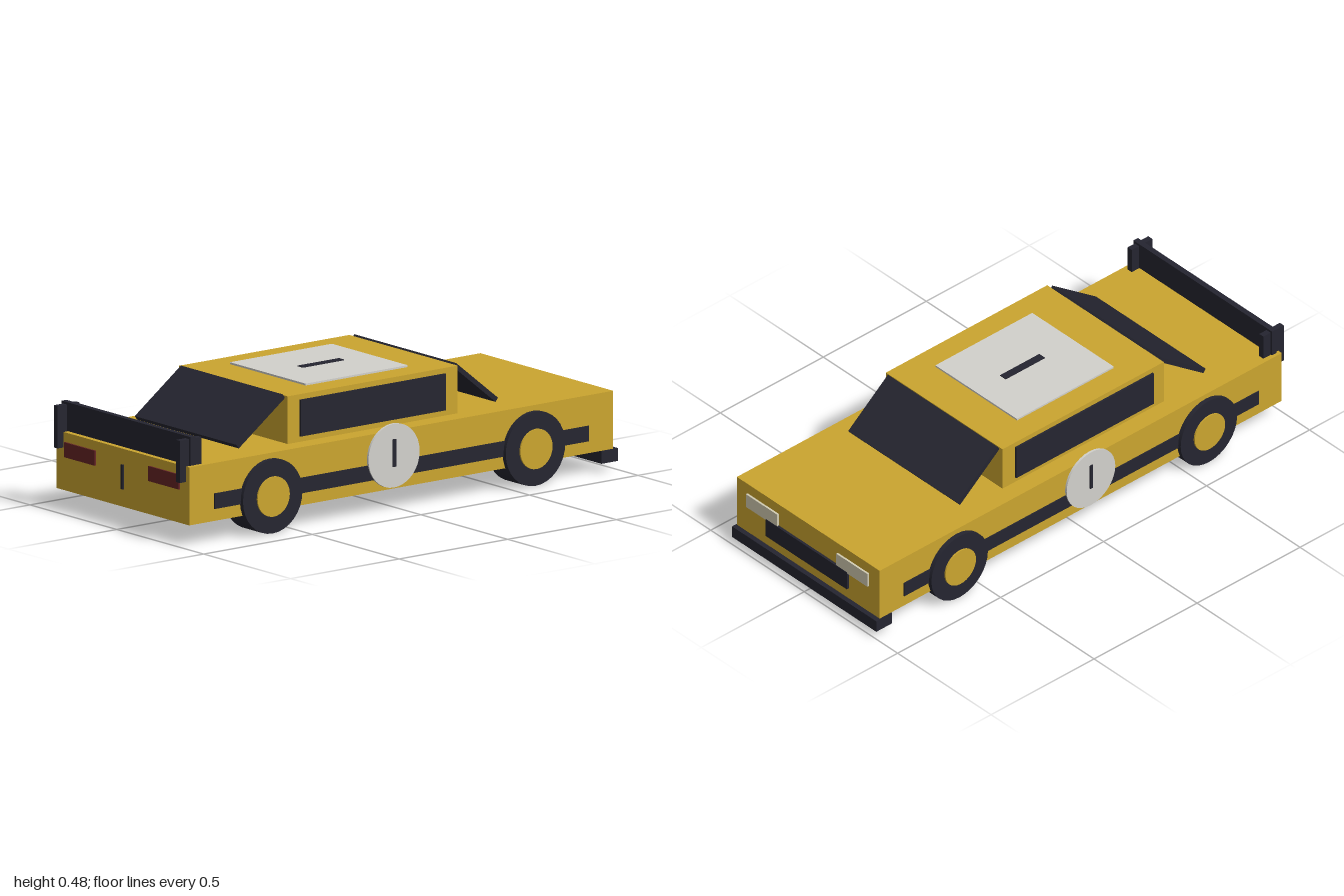
import * as THREE from 'three';

const material = (name, color) => {
  const m = new THREE.MeshStandardMaterial({ color });
  m.name = name;
  return m;
};

export function createModel() {
  const car = new THREE.Group();
  car.name = 'car';
  const gold = material('gold paint', 0xcba52f);
  const dark = material('dark trim', 0x252530);
  const white = material('white decal', 0xd2d1cc);
  const red = material('tail light red', 0x652525);
  const cream = material('headlight cream', 0xd2ccb2);

  // Box given by its minimum and maximum on each axis
  const box = (name, mat, [x0, x1], [y0, y1], [z0, z1]) => {
    const mesh = new THREE.Mesh(new THREE.BoxGeometry(x1 - x0, y1 - y0, z1 - z0), mat);
    mesh.position.set((x0 + x1) / 2, (y0 + y1) / 2, (z0 + z1) / 2);
    mesh.name = name;
    car.add(mesh);
    return mesh;
  };
  // The same box on both sides of the car
  const pair = (name, mat, [x0, x1], y, z) => {
    box(name + 'Left', mat, [x0, x1], y, z);
    box(name + 'Right', mat, [-x1, -x0], y, z);
  };
  // Disc or drum with its axis along x
  const drum = (name, mat, radius, [x0, x1], y, z, side) => {
    const mesh = new THREE.Mesh(new THREE.CylinderGeometry(radius, radius, x1 - x0, 32), mat);
    mesh.rotation.z = Math.PI / 2;
    mesh.position.set(side * (x0 + x1) / 2, y, z);
    mesh.name = name;
    car.add(mesh);
  };
  // Sloping pane between two (z, y) points
  const pane = (name, [z0, y0], [z1, y1]) => {
    const length = Math.hypot(z1 - z0, y1 - y0);
    const mesh = new THREE.Mesh(new THREE.BoxGeometry(0.586, 0.018, length), dark);
    mesh.position.set(0, (y0 + y1) / 2, (z0 + z1) / 2);
    mesh.rotation.x = -Math.atan2(y1 - y0, z1 - z0);
    mesh.name = name;
    car.add(mesh);
  };

  // Body and cabin
  box('body', gold, [-0.382, 0.382], [0.08, 0.294], [-0.98, 0.972]);
  box('cabin', gold, [-0.312, 0.312], [0.29, 0.47], [-0.32, 0.463]);

  // Glass
  pane('tailWindow', [0.465, 0.468], [0.678, 0.312]);
  pane('windshield', [-0.515, 0.312], [-0.322, 0.468]);
  pair('sideWindow', dark, [0.3, 0.32], [0.315, 0.45], [-0.26, 0.408]);

  // Roof panel with its stroke
  box('roofPanel', white, [-0.218, 0.218], [0.468, 0.477], [-0.165, 0.305]);
  box('roofStroke', dark, [-0.015, 0.015], [0.474, 0.48], [-0.035, 0.155]);

  // Side stripes, discs and wheels
  pair('sideStripe', dark, [0.379, 0.387], [0.125, 0.182], [-0.865, 0.858]);
  pair('sideStroke', dark, [0.389, 0.396], [0.163, 0.265], [0.03, 0.044]);
  for (const side of [1, -1]) {
    const label = side > 0 ? 'Left' : 'Right';
    drum('sideDisc' + label, white, 0.118, [0.383, 0.392], 0.204, 0.037, side);
    for (const [end, z] of [['tail', 0.602], ['nose', -0.608]]) {
      drum(end + 'Wheel' + label, dark, 0.137, [0.29, 0.4], 0.137, z, side);
      drum(end + 'Hub' + label, gold, 0.074, [0.39, 0.406], 0.137, z, side);
    }
  }

  // Spoiler
  box('spoilerBlade', dark, [-0.371, 0.371], [0.296, 0.402], [0.935, 0.957]);
  pair('spoilerBracket', dark, [0.341, 0.363], [0.237, 0.393], [0.9, 1]);

  // Tail end
  pair('tailLight', red, [0.154, 0.33], [0.204, 0.259], [0.97, 0.979]);
  box('tailStroke', dark, [-0.006, 0.006], [0.145, 0.236], [0.97, 0.978]);

  // Nose end
  pair('headlight', cream, [0.158, 0.325], [0.195, 0.252], [-0.988, -0.979]);
  box('grille', dark, [-0.217, 0.217], [0.125, 0.2], [-0.99, -0.978]);
  box('bumper', dark, [-0.386, 0.386], [0.033, 0.08], [-1, -0.923]);

  return car;
}
